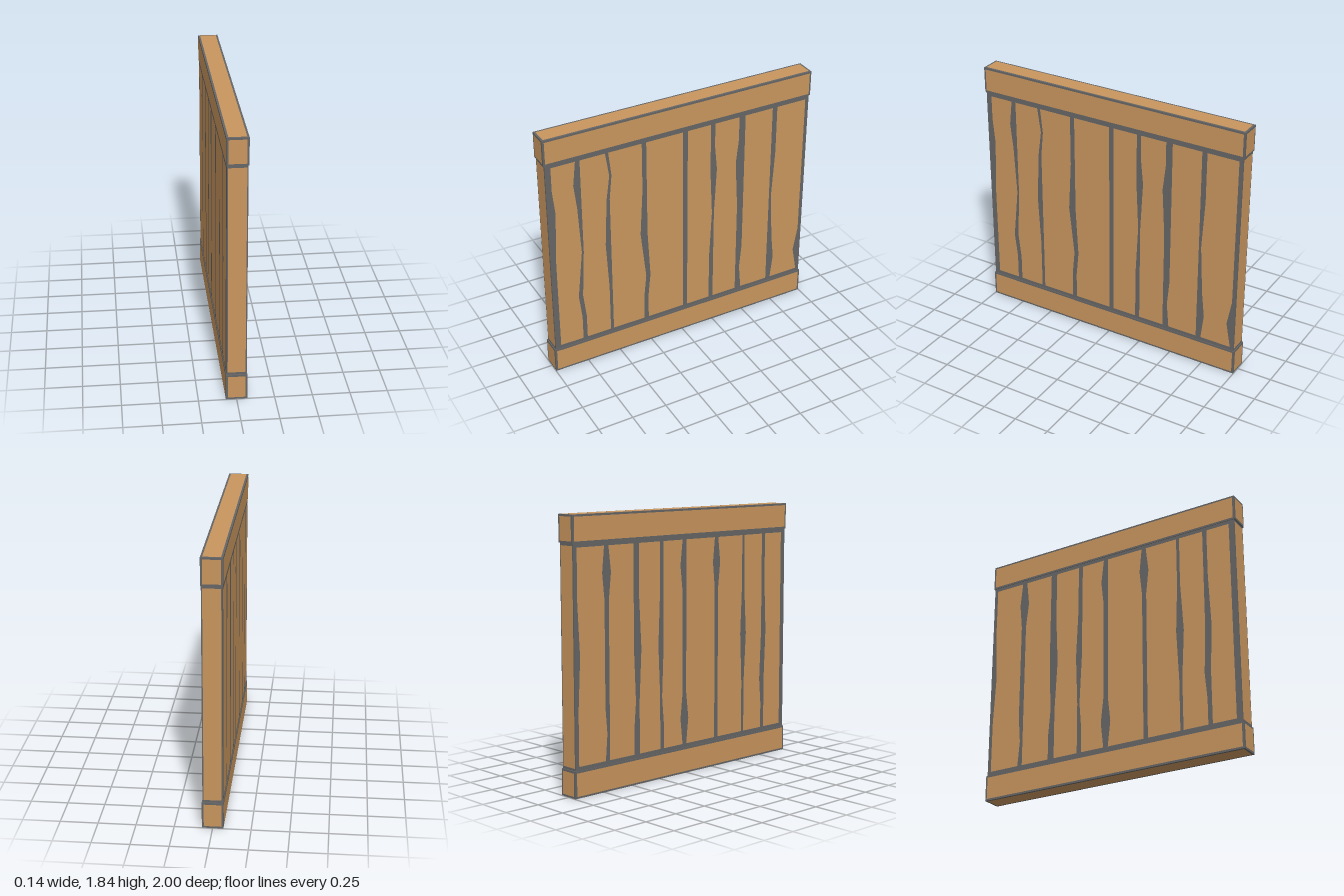
import * as THREE from 'three';

const wood = new THREE.MeshStandardMaterial({ color: 0xc9965e, flatShading: true });
const dark = new THREE.MeshStandardMaterial({ color: 0x666666, flatShading: true });
const LIFT = 0.0015; // wood faces sit just proud of the dark core

// Heights at which the plank edges may bend
const ROWS = [1.63, 1.455, 1.275, 0.925, 0.57, 0.39, 0.21];

// Planks by u = -z: [edge, edge, {row: shift} of first edge, {row: shift} of second edge]
const PLANKS = [
  [-0.95, -0.78, { 2: 0.017 }, { 1: -0.02, 3: 0.018, 4: -0.02 }],
  [-0.748, -0.568, { 4: -0.02 }, { 1: 0.025, 3: -0.018 }],
  [-0.545, -0.303, { 1: 0.018 }, { 3: -0.02, 4: 0.018 }],
  [-0.27, 0.005, { 4: 0.018 }, {}],
  [0.04, 0.217, {}, { 3: 0.017 }],
  [0.25, 0.437, { 2: 0.018 }, { 2: -0.02 }],
  [0.485, 0.7, { 5: -0.016 }, {}],
  [0.737, 0.963, { 3: -0.02, 5: 0.02 }, { 5: -0.033 }],
];
// Edge bends of the same planks on the other side
const BACK_BENDS = [
  [{}, { 3: -0.015 }],
  [{ 4: 0.015 }, { 3: -0.02 }],
  [{ 3: 0.015 }, { 1: -0.02 }],
  [{ 1: 0.018 }, { 5: -0.02 }],
  [{ 1: 0.02, 5: 0.02 }, { 4: 0.015 }],
  [{ 3: 0.015 }, { 3: -0.018 }],
  [{ 4: -0.015 }, { 1: -0.02 }],
  [{ 1: 0.018, 5: -0.015 }, { 3: -0.018 }],
];

function addBox(group, name, size, y) {
  const mesh = new THREE.Mesh(new THREE.BoxGeometry(...size), dark);
  mesh.name = name;
  mesh.position.y = y;
  group.add(mesh);
}

function addFace(group, name, w, h, position, rx, ry) {
  const mesh = new THREE.Mesh(new THREE.PlaneGeometry(w, h), wood);
  mesh.name = name;
  mesh.position.set(...position);
  mesh.rotation.set(rx, ry, 0);
  group.add(mesh);
}

// Horizontal beam: dark core with an inset wood face on each visible side
function makeRail(name, y0, y1) {
  const rail = new THREE.Group();
  rail.name = name;
  const x = 0.07, z = 0.998, h = y1 - y0, y = (y0 + y1) / 2, b = 0.026;
  addBox(rail, name + 'Core', [2 * x, h, 2 * z], y);
  for (const s of [1, -1]) {
    addFace(rail, name + 'Side', 2 * z - b, h - b, [s * (x + LIFT), y, 0], 0, s * Math.PI / 2);
    addFace(rail, name + 'End', 2 * x - b, h - b, [0, y, s * (z + LIFT)], 0, s > 0 ? 0 : Math.PI);
    addFace(rail, name + 'Cap', 2 * x - b, 2 * z - b, [0, y + s * (h / 2 + LIFT / 2), 0], -s * Math.PI / 2, 0);
  }
  return rail;
}

// Wavy plank outline; flip mirrors it for the opposite side
function plankShape(a, b, bendA, bendB, flip) {
  const first = ROWS.map((y, i) => new THREE.Vector2(flip * (a + (bendA[i] || 0)), y));
  const second = ROWS.map((y, i) => new THREE.Vector2(flip * (b + (bendB[i] || 0)), y));
  return new THREE.Shape([...first, ...second.reverse()]);
}

export function createModel() {
  const model = new THREE.Group();
  model.name = 'plankWall';
  model.add(makeRail('bottomRail', 0.001, 0.183), makeRail('topRail', 1.656, 1.838));

  // Recessed panel between the rails
  const panel = new THREE.Group();
  panel.name = 'panel';
  const x = 0.066, z = 0.99;
  addBox(panel, 'panelCore', [2 * x, 1.475, 2 * z], 0.92);
  for (const s of [1, -1]) {
    addFace(panel, 'panelEnd', 0.116, 1.44, [0, 0.92, s * (z + LIFT)], 0, s > 0 ? 0 : Math.PI);
    PLANKS.forEach(([a, b, bendA, bendB], i) => {
      const bends = s > 0 ? [bendA, bendB] : BACK_BENDS[i];
      const plank = new THREE.Mesh(new THREE.ShapeGeometry(plankShape(a, b, ...bends, s)), wood);
      plank.name = (s > 0 ? 'leftPlank' : 'rightPlank') + (i + 1);
      plank.position.x = s * (x + LIFT);
      plank.rotation.y = s * Math.PI / 2;
      panel.add(plank);
    });
  }
  model.add(panel);
  return model;
}
